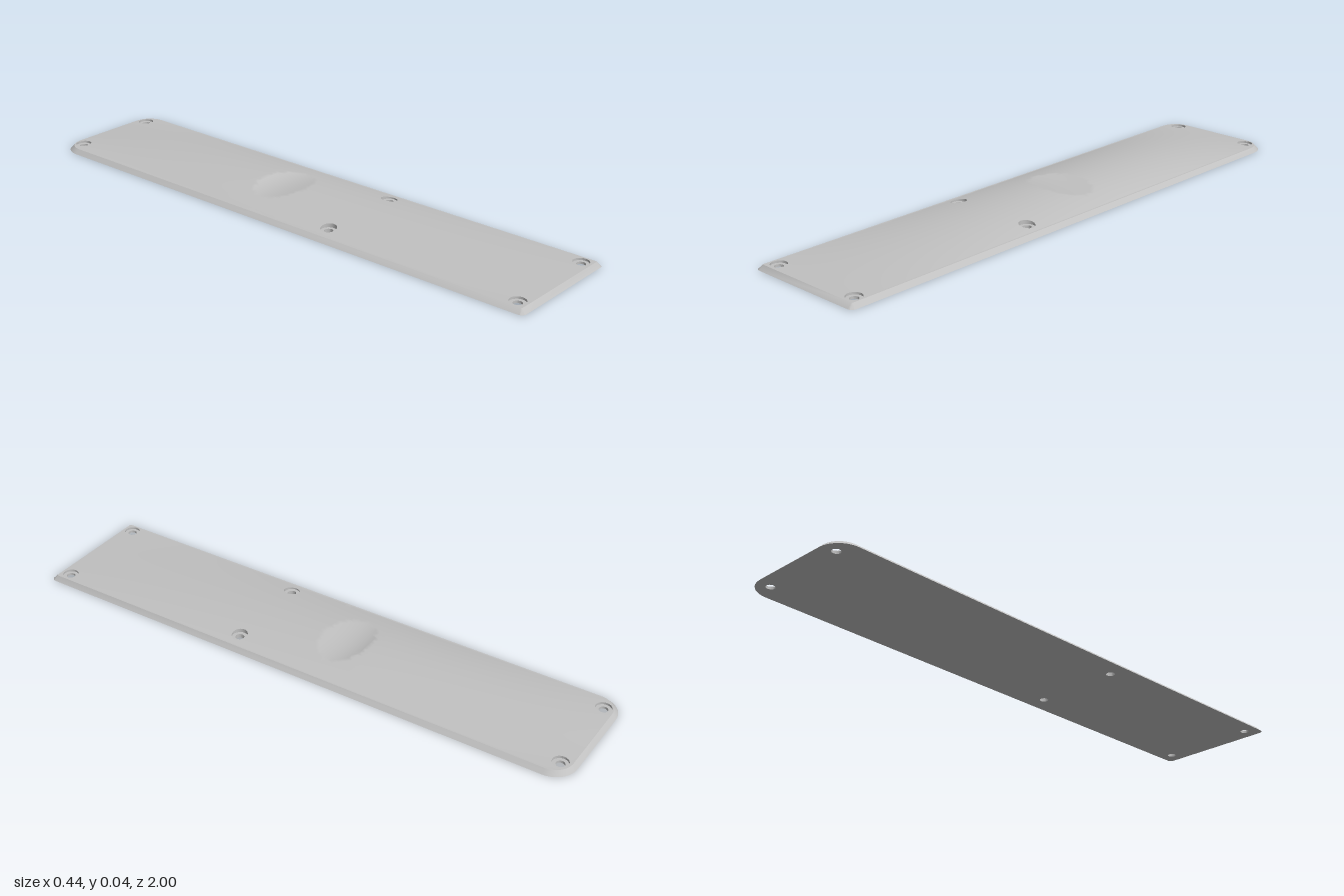
import * as THREE from 'three';
import { toCreasedNormals } from 'three/addons/utils/BufferGeometryUtils.js';

const RIM = 0.015;     // height of the flat rim
const INSET = 0.015;   // width of the sloped edge
const BORE = 0.027, HOLE = 0.015;
// screw holes: x, z, height of the seat under the screw head
const HOLES = [];
for (const side of [-1, 1]) {
  HOLES.push([side * 0.155, -0.95, 0.008], [side * 0.155, 0.225, 0.014], [side * 0.172, 0.95, 0.008]);
}

// height of the domed top with its thumb scoop
function height(x, z) {
  const across = Math.max(0, 1 - (x / 0.2) ** 2);
  let along;
  if (z > -0.2) {
    const t = Math.max(0, (0.985 - z) / 1.185);
    along = 0.5 * t + 0.5 * Math.sin(t * Math.PI / 2);
  } else {
    along = Math.max(0, 1 - ((z + 0.2) / 0.785) ** 2);
  }
  let y = RIM + 0.03 * across * along;
  const dz = z + 0.1;
  const r2 = (x / 0.125) ** 2 + (dz / 0.085) ** 2;
  if (r2 < 1) y -= 0.011 * (1 - r2) * (1 - 3 * dz);
  return y;
}

// plan outline as (x, -z), round at the back and nearly square at the front
function outline(inset) {
  const w = 0.22 - inset, l = 1 - inset, pts = [];
  const corners = [
    [1, -1, 0.018, -Math.PI / 2], [1, 1, 0.08, 0],
    [-1, 1, 0.08, Math.PI / 2], [-1, -1, 0.018, Math.PI],
  ];
  for (const [sx, sy, radius, start] of corners) {
    const r = Math.max(0.004, radius - inset);
    for (let i = 0; i <= 10; i++) {
      const a = start + (i / 10) * Math.PI / 2;
      pts.push(new THREE.Vector2(sx * (w - r) + r * Math.cos(a), sy * (l - r) + r * Math.sin(a)));
    }
  }
  return pts;
}

function circle(x, z, r) {
  return Array.from({ length: 24 }, (_, i) => {
    const a = (i / 24) * Math.PI * 2;
    return new THREE.Vector2(x + r * Math.cos(a), -z + r * Math.sin(a));
  });
}

function plateShape(inset, holeRadius) {
  const shape = new THREE.Shape(outline(inset));
  for (const [x, z] of HOLES) shape.holes.push(new THREE.Path(circle(x, z, holeRadius)));
  return new THREE.ShapeGeometry(shape).rotateX(-Math.PI / 2);
}

// skin closed loops of equal length
function loft(loops) {
  const n = loops[0].length, pos = [], index = [];
  for (const loop of loops) for (const p of loop) pos.push(p.x, p.y, p.z);
  for (let k = 0; k < loops.length - 1; k++) {
    for (let i = 0; i < n; i++) {
      const a = k * n + i, b = k * n + (i + 1) % n;
      index.push(a, b, b + n, a, b + n, a + n);
    }
  }
  const g = new THREE.BufferGeometry();
  g.setAttribute('position', new THREE.Float32BufferAttribute(pos, 3));
  g.setIndex(index);
  return toCreasedNormals(g, 0.5);
}

const lift = (pts, y) => pts.map(p =>
  new THREE.Vector3(p.x, typeof y === 'function' ? y(p.x, -p.y) : y, -p.y));

// domed face: split the flat plan at its longest edges, then raise it
function domeGeometry() {
  const flat = plateShape(INSET, BORE).toNonIndexed().attributes.position;
  const pos = [], normals = [], n = new THREE.Vector3(), e = 0.002;
  const emit = p => {
    pos.push(p.x, height(p.x, p.z), p.z);
    n.set(height(p.x - e, p.z) - height(p.x + e, p.z), 2 * e,
      height(p.x, p.z - e) - height(p.x, p.z + e)).normalize();
    normals.push(n.x, n.y, n.z);
  };
  const split = (a, b, c) => {
    const ab = a.distanceToSquared(b), bc = b.distanceToSquared(c), ca = c.distanceToSquared(a);
    const longest = Math.max(ab, bc, ca);
    if (longest < 0.022 ** 2) { emit(a); emit(b); emit(c); return; }
    if (bc === longest) return split(b, c, a);
    if (ca === longest) return split(c, a, b);
    const m = a.clone().add(b).multiplyScalar(0.5);
    split(a, m, c);
    split(m, b, c);
  };
  for (let i = 0; i < flat.count; i += 3) {
    split(...[0, 1, 2].map(k => new THREE.Vector3().fromBufferAttribute(flat, i + k)));
  }
  const g = new THREE.BufferGeometry();
  g.setAttribute('position', new THREE.Float32BufferAttribute(pos, 3));
  g.setAttribute('normal', new THREE.Float32BufferAttribute(normals, 3));
  return g;
}

export function createModel() {
  const group = new THREE.Group();
  group.name = 'coverPlate';
  const grey = new THREE.MeshStandardMaterial({ color: 0xc0c0c0 });
  grey.name = 'grey';
  const add = (name, geometry) => {
    const mesh = new THREE.Mesh(geometry, grey);
    mesh.name = name;
    group.add(mesh);
    return mesh;
  };

  add('domedTop', domeGeometry());
  add('slopedEdge', loft([lift(outline(0), 0), lift(outline(INSET), RIM)]));

  // flat underside
  add('underside', plateShape(0, HOLE)).rotation.z = Math.PI;

  // counterbored screw holes
  for (const [x, z, seat] of HOLES) {
    const head = circle(x, z, BORE), shank = circle(x, z, HOLE);
    add('screwHole', loft([lift(head, height), lift(head, seat), lift(shank, seat), lift(shank, 0)]));
  }
  return group;
}
